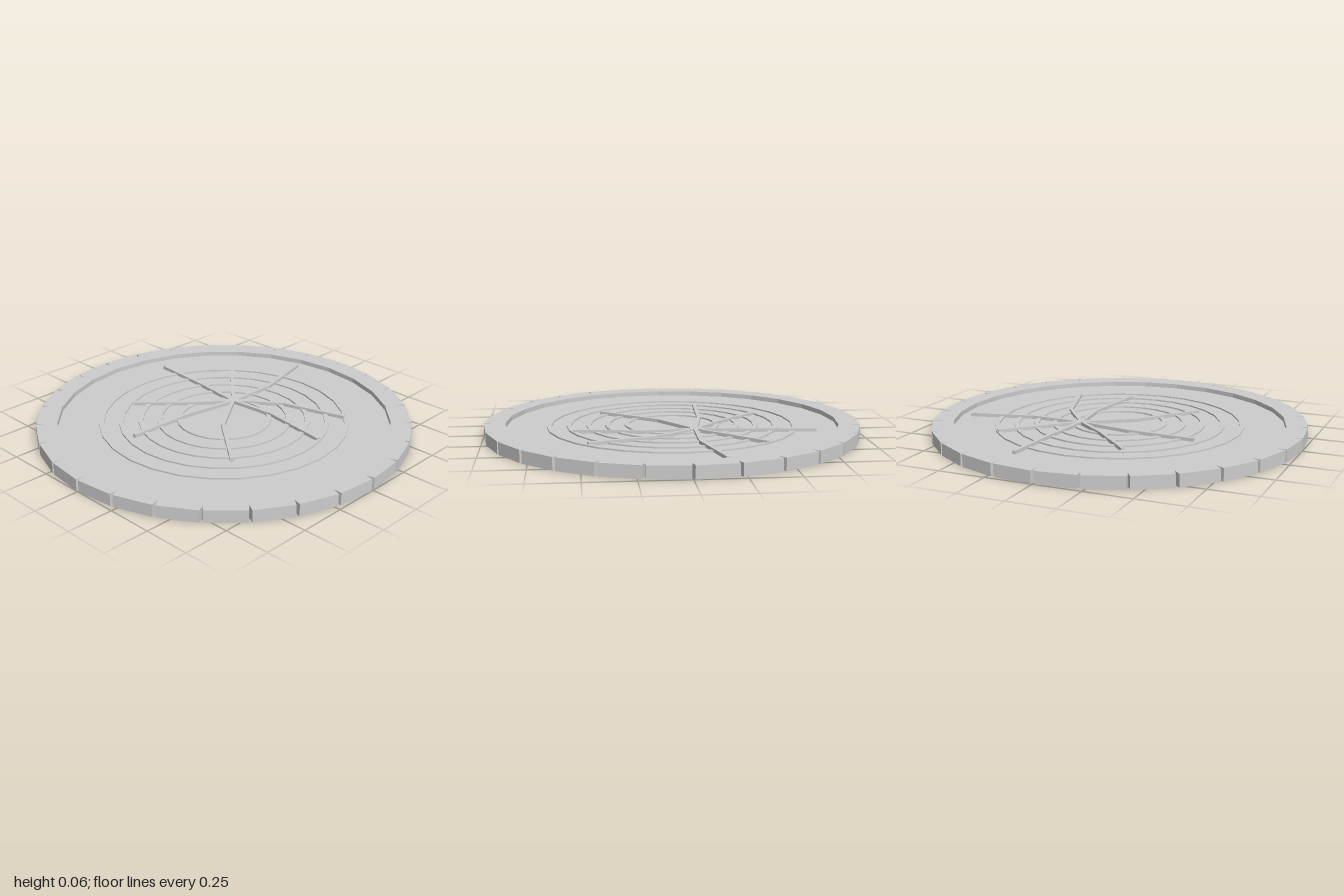
import * as THREE from 'three';

const SIDES = 28;
const RIM_TOP = 0.065, FLOOR = 0.04;
const RIM_INNER = 0.888;

// Points of a regular polygon with a corner on each axis
function ringPoints(radius) {
  return Array.from({ length: SIDES }, (_, i) => {
    const a = (i / SIDES) * Math.PI * 2;
    return new THREE.Vector2(Math.cos(a) * radius, Math.sin(a) * radius);
  });
}

// Flat shape raised from y0 to y1; shape y becomes -z
function slab(name, shape, y0, y1, material) {
  const geo = new THREE.ExtrudeGeometry(shape, { depth: y1 - y0, bevelEnabled: false });
  geo.rotateX(-Math.PI / 2);
  geo.translate(0, y0, 0);
  const mesh = new THREE.Mesh(geo, material);
  mesh.name = name;
  return mesh;
}

// Outline of a constant-width strip along a polyline of [x, z] points
function stripShape(path, width) {
  const pts = path.map(([x, z]) => new THREE.Vector2(x, -z));
  const left = [], right = [];
  pts.forEach((p, i) => {
    const before = pts[Math.max(i - 1, 0)], after = pts[Math.min(i + 1, pts.length - 1)];
    const dir = after.clone().sub(before).normalize();
    const side = new THREE.Vector2(-dir.y, dir.x).multiplyScalar(width / 2);
    left.push(p.clone().add(side));
    right.unshift(p.clone().sub(side));
  });
  return new THREE.Shape([...right, ...left]);
}

export function createModel() {
  const group = new THREE.Group();
  group.name = 'logSlice';
  const wood = new THREE.MeshStandardMaterial({ color: 0xcccccc });
  wood.name = 'paleGrey';

  // Bark rim with a V-shaped notch at every corner
  const outline = [];
  for (let i = 0; i < SIDES; i++) {
    const a = (i / SIDES) * Math.PI * 2;
    for (const [r, da] of [[1, -0.008], [0.953, 0], [1, 0.008]]) {
      outline.push(new THREE.Vector2(Math.cos(a + da) * r, Math.sin(a + da) * r));
    }
  }
  const rim = new THREE.Shape(outline);
  rim.holes.push(new THREE.Path(ringPoints(RIM_INNER)));
  group.add(slab('barkRim', rim, 0, RIM_TOP, wood));

  // Sunken wood core
  group.add(slab('woodCore', new THREE.Shape(ringPoints(RIM_INNER)), 0, FLOOR, wood));

  // Low concentric growth rings
  [0.67, 0.565, 0.46, 0.36, 0.255].forEach((r, i) => {
    const ring = new THREE.Shape(ringPoints(r));
    ring.holes.push(new THREE.Path(ringPoints(r - 0.025)));
    group.add(slab('growthRing' + (i + 1), ring, FLOOR - 0.005, FLOOR + 0.008, wood));
  });

  // Raised bent cracks spreading from an off-centre point
  const hub = [0.18, -0.105];
  const cracks = [
    [[0.215, -0.4], [0.24, -0.735]],
    [[0.35, -0.275], [0.505, -0.43]],
    [[0.47, -0.1], [0.815, -0.185]],
    [[0.35, 0.12], [0.455, 0.46]],
    [[0.205, 0.16], [0.155, 0.53]],
    [[-0.075, 0.065], [-0.32, 0.37]],
    [[-0.12, -0.16], [-0.485, -0.178]],
    [[-0.01, -0.26], [-0.225, -0.48]],
  ];
  cracks.forEach((path, i) => {
    const shape = stripShape([hub, ...path], 0.02);
    group.add(slab('crack' + (i + 1), shape, FLOOR - 0.005, FLOOR + 0.018, wood));
  });

  return group;
}
